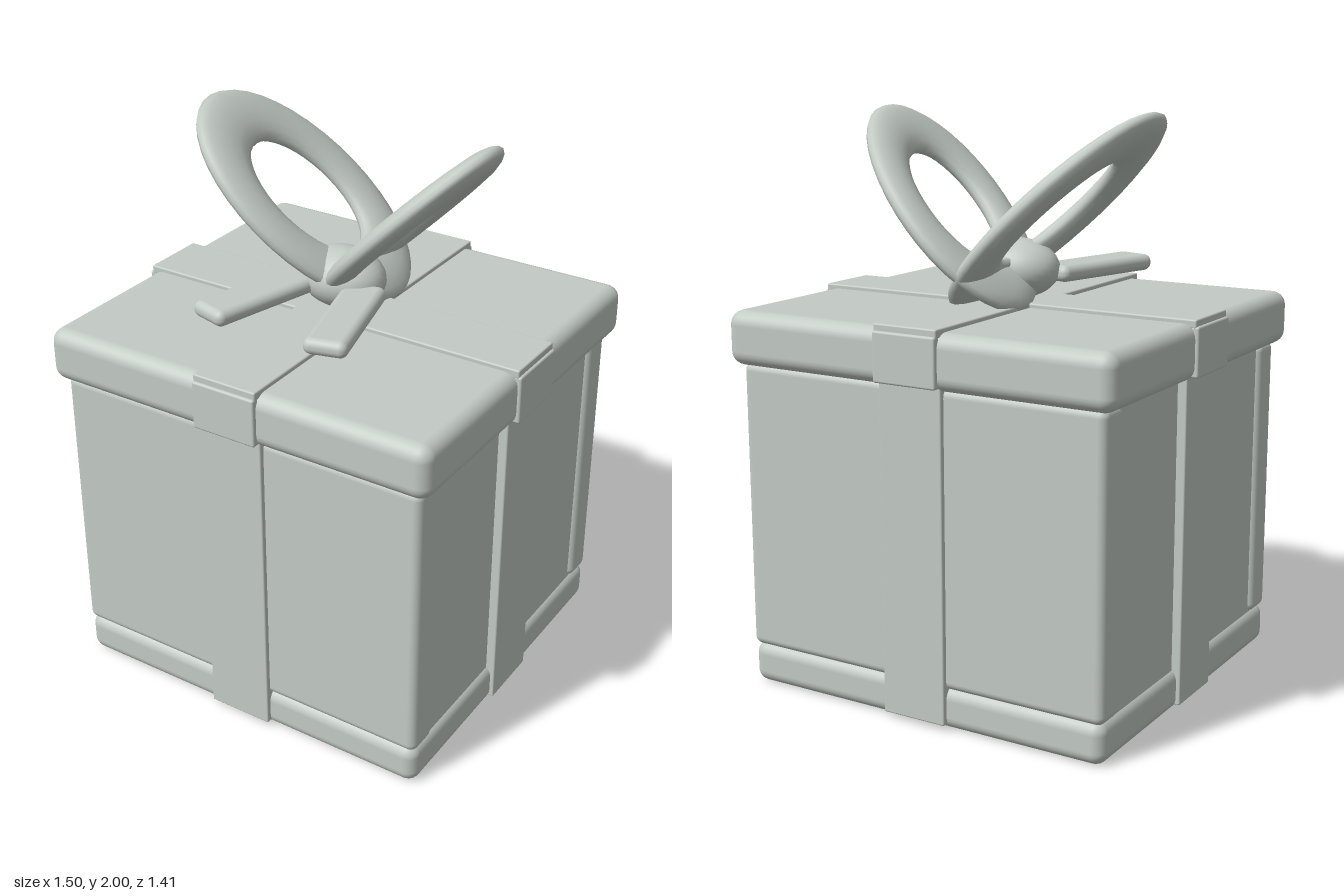
import * as THREE from 'three';
import { RoundedBoxGeometry } from 'three/addons/geometries/RoundedBoxGeometry.js';

export function createModel() {
  const model = new THREE.Group();
  model.name = 'giftBox';
  const paper = new THREE.MeshStandardMaterial({ color: 0xc3cbc5 });
  paper.name = 'paleGreyGreen';

  const add = (name, geometry, x = 0, y = 0, z = 0) => {
    const mesh = new THREE.Mesh(geometry, paper);
    mesh.name = name;
    mesh.position.set(x, y, z);
    model.add(mesh);
    return mesh;
  };
  const rounded = (w, h, d, r) => new RoundedBoxGeometry(w, h, d, 4, r);

  // Base and lid
  add('base', rounded(1.4, 0.15, 1.31, 0.045), 0, 0.075, 0);
  add('lid', rounded(1.48, 0.19, 1.38, 0.05), 0, 1.245, 0);

  // Front and back walls overlap the slightly recessed side walls
  for (const s of [1, -1]) {
    const end = s > 0 ? 'front' : 'back';
    const side = s > 0 ? 'left' : 'right';
    add(end + 'Wall', rounded(1.4, 1.02, 0.125, 0.03), 0, 0.65, s * 0.5925);
    add(side + 'Wall', new THREE.BoxGeometry(0.1, 1.04, 1.1), s * 0.632, 0.65, 0);

    // Ribbon down the walls
    add(end + 'Ribbon', rounded(0.24, 1.15, 0.04, 0.006), 0, 0.595, s * 0.652);
    add(side + 'Ribbon', rounded(0.04, 1.15, 0.24, 0.006), s * 0.695, 0.595, 0);

    // Ribbon over the rim of the lid
    add(end + 'LidRibbon', rounded(0.24, 0.17, 0.03, 0.008), 0, 1.247, s * 0.69);
    add(side + 'LidRibbon', rounded(0.03, 0.17, 0.24, 0.008), s * 0.737, 1.247, 0);
  }

  // Crossed ribbons on top of the lid
  add('topRibbonAcross', rounded(1.485, 0.03, 0.24, 0.006), 0, 1.34, 0);
  add('topRibbonAlong', rounded(0.24, 0.03, 1.39, 0.006), 0, 1.34, 0);

  // Bow knot
  const knot = new THREE.SphereGeometry(1, 32, 20);
  knot.scale(0.157, 0.105, 0.126);
  add('bowKnot', knot, 0, 1.455, 0);

  // Bow loops: flattened oval rings rising outward at 45 degrees
  const loop = new THREE.TorusGeometry(1, 0.315, 16, 40);
  loop.scale(0.3635, 0.2395, 0.127);
  const tilt = 0.305;
  for (const s of [1, -1]) {
    const side = s > 0 ? 'left' : 'right';
    const up = new THREE.Vector3(s, 1, 0).normalize();
    const out = new THREE.Vector3(0, 0, 1);
    const a = up.clone().multiplyScalar(Math.cos(tilt)).addScaledVector(out, Math.sin(tilt));
    const b = out.clone().multiplyScalar(Math.cos(tilt)).addScaledVector(up, -Math.sin(tilt));
    const n = a.clone().cross(b);
    const ring = add(side + 'BowLoop', loop, s * 0.208, 1.67, -0.09);
    ring.quaternion.setFromRotationMatrix(new THREE.Matrix4().makeBasis(a, b, n));

    // Ribbon tail splayed toward the front
    const tail = add(side + 'BowTail', rounded(0.15, 0.058, 0.46, 0.027), s * 0.172, 1.44, 0.253);
    tail.rotation.y = s * 0.26;
  }

  return model;
}
